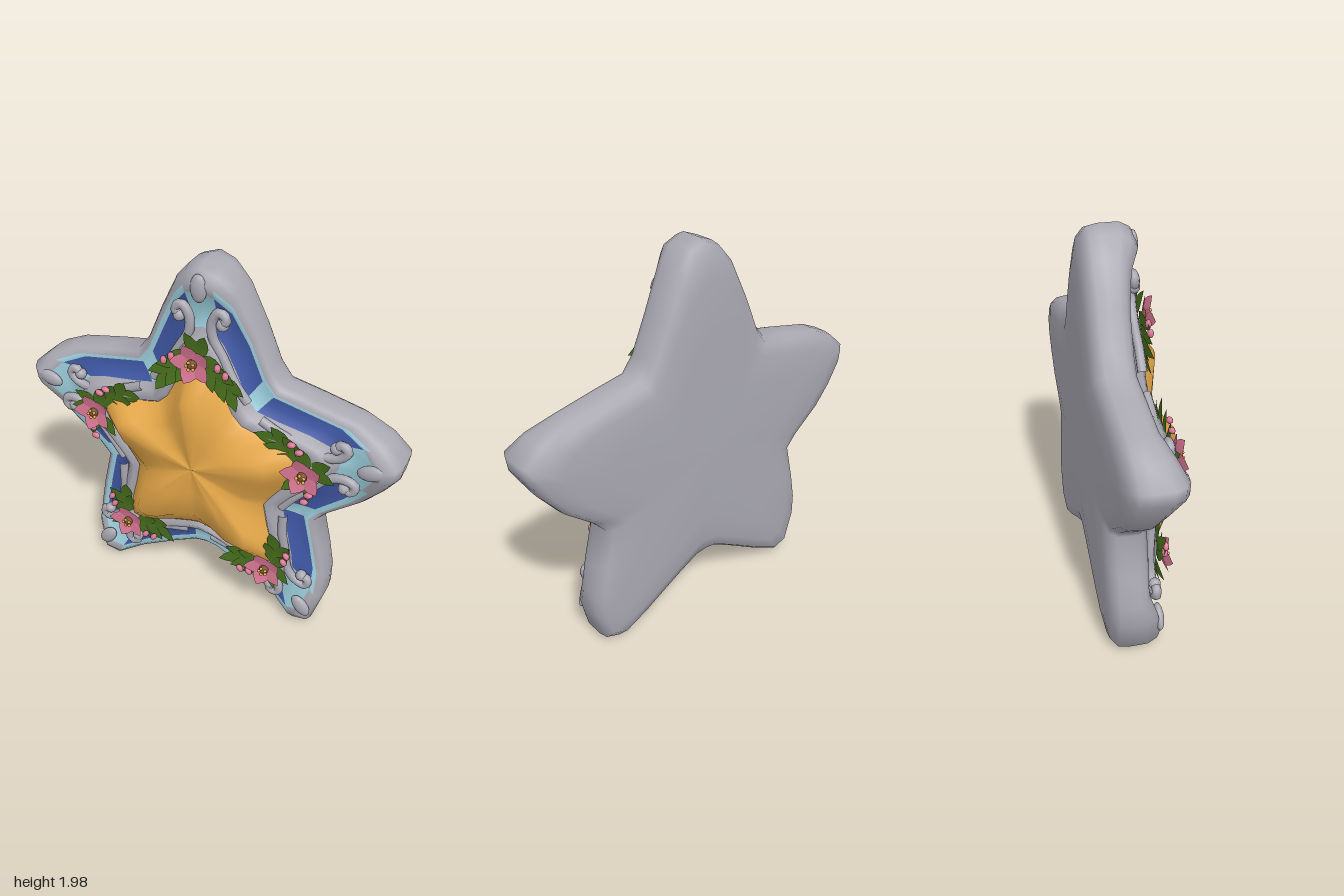
import * as THREE from 'three';

const CY = 0.92; // height of the star's centre

function mat(name, color, side = THREE.FrontSide) {
  const m = new THREE.MeshStandardMaterial({ color, side });
  m.name = name;
  return m;
}

// Half outline from top tip to bottom notch:
// outer x, y, inner x, y, and tip weight (1 at a tip, -1 at a notch)
const HALF = [
  [0, 1.98, 0, 1.47, 1], [0.08, 1.95, 0.05, 1.46, 0.9], [0.16, 1.86, 0.08, 1.42, 0.3],
  [0.25, 1.68, 0.12, 1.35, 0], [0.33, 1.49, 0.17, 1.25, -1], [0.39, 1.41, 0.22, 1.2, -1],
  [0.55, 1.38, 0.3, 1.18, 0], [0.78, 1.33, 0.42, 1.17, 0], [0.91, 1.27, 0.5, 1.16, 0.5],
  [1, 1.19, 0.54, 1.11, 1], [0.99, 1.12, 0.54, 1.07, 1], [0.92, 1.0, 0.51, 1.0, 0.3],
  [0.83, 0.89, 0.45, 0.92, 0], [0.67, 0.76, 0.38, 0.82, -1], [0.61, 0.69, 0.35, 0.77, -1],
  [0.66, 0.48, 0.37, 0.66, 0], [0.69, 0.32, 0.4, 0.54, 0], [0.69, 0.2, 0.42, 0.46, 0.5],
  [0.64, 0.03, 0.4, 0.41, 1], [0.56, 0, 0.35, 0.4, 0.8], [0.42, 0.07, 0.27, 0.42, 0],
  [0.2, 0.2, 0.15, 0.47, 0], [0.07, 0.27, 0.05, 0.5, -1], [0, 0.28, 0, 0.51, -1],
];
const point = ([ox, oy, ix, iy, tip], s) => ({
  o: new THREE.Vector2(ox * s, oy - CY), i: new THREE.Vector2(ix * s, iy - CY), tip,
});
const LOOP = [...HALF.map(r => point(r, 1)), ...HALF.slice(1, -1).reverse().map(r => point(r, -1))];
const N = LOOP.length;

// Skin a list of rings; pick(j, i, k) returns the material index of each quad
function loft(rings, pick) {
  const pos = rings.flat().flatMap(p => [p.x, p.y, p.z]);
  const buckets = [[], [], []];
  for (let j = 0; j < rings.length - 1; j++) {
    for (let i = 0; i < N; i++) {
      const k = (i + 1) % N;
      const a = j * N + i, b = j * N + k, c = a + N, d = b + N;
      buckets[pick(j, i, k)].push(a, c, b, b, c, d);
    }
  }
  const g = new THREE.BufferGeometry();
  g.setAttribute('position', new THREE.Float32BufferAttribute(pos, 3));
  g.setIndex(buckets.flat());
  let start = 0;
  buckets.forEach((b, m) => {
    if (b.length) g.addGroup(start, b.length, m);
    start += b.length;
  });
  g.computeVertexNormals();
  return g;
}

// Pointed leaf or petal lying along +x, folded along its midrib
function blade(length, width, fold, lift) {
  const s = new THREE.Shape();
  s.moveTo(0, 0);
  s.quadraticCurveTo(length * 0.45, width * 1.1, length, 0);
  s.quadraticCurveTo(length * 0.45, -width * 1.1, 0, 0);
  const g = new THREE.ShapeGeometry(s, 5);
  const p = g.attributes.position;
  for (let i = 0; i < p.count; i++) {
    const x = p.getX(i), y = p.getY(i);
    p.setZ(i, -Math.abs(y) * fold + lift * x * (1 - x / length * 0.5));
  }
  g.computeVertexNormals();
  return g;
}

export function createModel() {
  const grey = mat('stone grey', 0xaaa9b3);
  const pale = mat('pale blue', 0x9ccfdd);
  const blue = mat('deep blue', 0x4058a6);
  const gold = mat('gold', 0xe6a849);
  const green = mat('leaf green', 0x48701d, THREE.DoubleSide);
  const pink = mat('petal pink', 0xdc7896, THREE.DoubleSide);
  const brown = mat('flower centre', 0x7d5230);

  const root = new THREE.Group();
  root.name = 'starOrnament';
  const add = (parent, name, geo, material, x = 0, y = 0, z = 0) => {
    const m = new THREE.Mesh(geo, material);
    m.name = name;
    m.position.set(x, y, z);
    parent.add(m);
    return m;
  };

  // Star body: back and sides as scaled outlines, front blending to the inner star
  const backRings = [[0, -0.195], [0.6, -0.193], [0.84, -0.185], [0.95, -0.165], [0.99, -0.13], [1, -0.08]]
    .map(([s, z]) => LOOP.map(p => new THREE.Vector3(p.o.x * s, p.o.y * s, z)));
  // blend, height, height at tips
  const frontRings = [
    [0, -0.03, 0.02], [0.05, 0, 0.07], [0.15, 0.02, 0.1], [0.24, 0.01, 0.085], [0.42, 0.02, 0.04],
    [0.63, 0.04, 0.04], [0.73, 0.085, 0.09], [0.9, 0.11, 0.11], [1.02, 0.07, 0.07],
  ].map(([t, z, zt]) => LOOP.map(p => {
    const v = p.o.clone().lerp(p.i, t);
    return new THREE.Vector3(v.x, v.y, THREE.MathUtils.lerp(z, zt, Math.max(0, p.tip)));
  }));
  const bodyGeo = loft([...backRings, ...frontRings], (j, i, k) => {
    const band = j - backRings.length;
    const tip = (LOOP[i].tip + LOOP[k].tip) / 2;
    if (band < 2 || band > 4) return 0;
    if (tip > 0.6) return band === 2 ? 0 : 1;
    if (band === 2 || tip < -0.6) return 1;
    return 2;
  });
  add(root, 'starBody', bodyGeo, [grey, pale, blue], 0, CY);

  // Raised gold star with ridges towards the tips
  const goldRings = [[1.03, 0.08, 0], [0.97, 0.105, 0], [0.74, 0.155, 0.045], [0.38, 0.165, 0.03], [0, 0.178, 0]]
    .map(([s, z, ridge]) => LOOP.map(p => {
      const w = THREE.MathUtils.clamp((p.i.length() - 0.36) / 0.2, 0, 1);
      return new THREE.Vector3(p.i.x * s, p.i.y * s, z + ridge * w);
    }));
  add(root, 'goldStar', loft(goldRings, () => 0), [gold], 0, CY);

  const leafGeo = blade(0.15, 0.065, 0.45, 0.25);
  const petalGeo = blade(0.108, 0.078, 0.3, 0.5);
  const budGeo = new THREE.SphereGeometry(0.016, 8, 6);
  const centreGeo = new THREE.SphereGeometry(0.025, 10, 6);
  const stamenGeo = new THREE.SphereGeometry(0.009, 6, 4);
  const curlGeo = new THREE.SphereGeometry(0.03, 10, 8);
  const padGeo = new THREE.SphereGeometry(1, 14, 10);
  padGeo.scale(0.07, 0.04, 0.025);

  // Each arm: angle, flower shift, stretch, leaf counts on its two sides;
  // local +x points out towards the tip
  const arms = [
    [90, 0, 1, 6, 6], [15, -0.01, 0.95, 6, 2], [165, -0.01, 0.95, 2, 6],
    [-52, 0.06, 1.02, 4, 5], [232, 0.06, 1.02, 5, 4],
  ];
  for (const [angle, shift, stretch, leftLeaves, rightLeaves] of arms) {
    const arm = new THREE.Group();
    arm.name = 'armDecoration';
    arm.position.y = CY;
    arm.rotation.z = THREE.MathUtils.degToRad(angle);
    root.add(arm);
    add(arm, 'tipPad', padGeo, grey, 0.95 * stretch, 0, 0.085);

    for (const s of [-1, 1]) {
      // Curled scroll running from the notch to the tip
      const path = [[0.42, 0.25], [0.51, 0.18], [0.62, 0.115], [0.72, 0.06], [0.8, 0.06],
        [0.845, 0.095], [0.82, 0.13], [0.785, 0.11]]
        .map(([u, v], n) => new THREE.Vector3(u * stretch, v * s, n < 2 ? 0.075 : 0.065));
      add(arm, 'scroll', new THREE.TubeGeometry(new THREE.CatmullRomCurve3(path), 32, 0.024, 7), grey);
      add(arm, 'scrollEnd', curlGeo, grey, 0.785 * stretch, 0.11 * s, 0.065);

      // Garland of leaves and buds along the side of the gold tip
      const along = Math.atan2(0.2, -0.16);
      for (let n = 0; n < (s > 0 ? leftLeaves : rightLeaves); n++) {
        const t = n / 6;
        const leaf = add(arm, 'leaf', leafGeo, green,
          0.62 + shift - 0.13 * t, s * (0.01 + 0.15 * t), 0.118 - 0.01 * t);
        leaf.rotation.z = s * (along + (n % 2 ? 0.5 : -0.45) * (1 - t * 0.4));
      }
      [[0.6, 0.12], [0.57, 0.16]].forEach(([u, v]) => {
        add(arm, 'bud', budGeo, pink, u + shift, v * s, 0.135).scale.set(1.5, 1, 1);
      });
      // Short leaf beside the flower, pointing to the tip
      add(arm, 'leaf', leafGeo, green, 0.6 + shift, 0, 0.11).rotation.z = s * 0.35;
    }

    // Five-petalled flower
    const flower = new THREE.Group();
    flower.name = 'flower';
    flower.position.set(0.6 + shift, 0, 0.148);
    arm.add(flower);
    for (let n = 0; n < 5; n++) {
      const a = n * Math.PI * 0.4 + 0.3;
      add(flower, 'petal', petalGeo, pink).rotation.z = a;
      add(flower, 'stamen', stamenGeo, gold, Math.cos(a) * 0.02, Math.sin(a) * 0.02, 0.028);
    }
    add(flower, 'flowerCentre', centreGeo, brown, 0, 0, 0.008);
  }
  return root;
}
